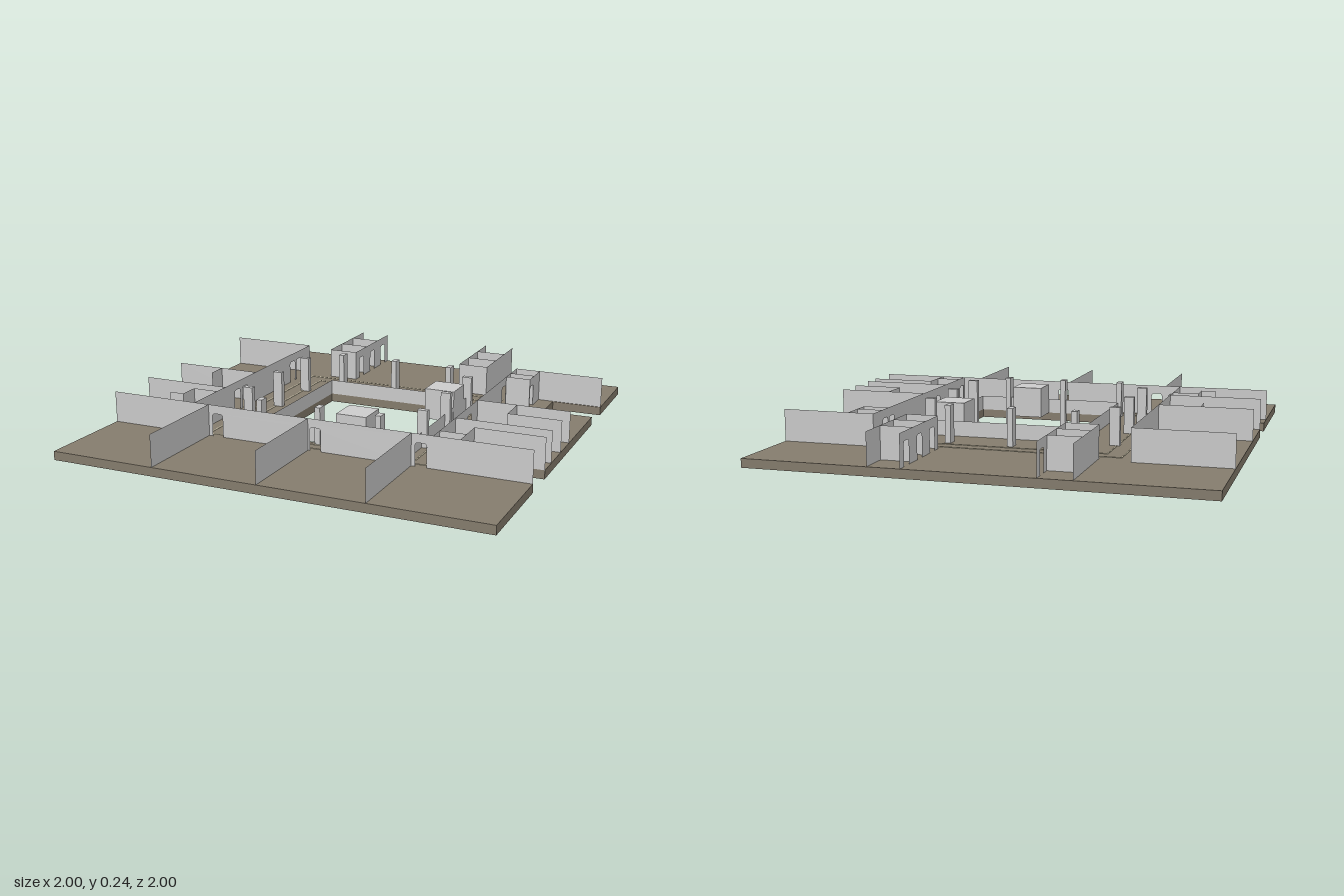
import * as THREE from 'three';

const FLOOR = 0.07, TOP = 0.215;
const grey = new THREE.MeshStandardMaterial({ color: 0xcccccc, side: THREE.DoubleSide });
const floorMat = new THREE.MeshStandardMaterial({ color: 0x857c6d });
const lineMat = new THREE.MeshStandardMaterial({ color: 0xe0d8bc });

// Upright thin panel from a to b with arched doorways centred on the given positions
function panel(a, b, doors = [], top = TOP) {
  const s = new THREE.Shape(), w = 0.026, r = 0.014, h = 0.175;
  s.moveTo(a, FLOOR);
  for (const d of doors) {
    s.lineTo(d - w, FLOOR);
    s.lineTo(d - w, h - r);
    s.quadraticCurveTo(d - w, h, d - w + r, h);
    s.lineTo(d + w - r, h);
    s.quadraticCurveTo(d + w, h, d + w, h - r);
    s.lineTo(d + w, FLOOR);
  }
  s.lineTo(b, FLOOR);
  s.lineTo(b, top);
  s.lineTo(a, top);
  s.closePath();
  return new THREE.ShapeGeometry(s, 5);
}

export function createModel() {
  const model = new THREE.Group();
  const add = (name, geo, mat = grey) => {
    const m = new THREE.Mesh(geo, mat);
    m.name = name;
    model.add(m);
    return m;
  };
  const wallX = (name, z, a, b, doors, top) => add(name, panel(a, b, doors, top).translate(0, 0, z));
  const wallZ = (name, x, a, b, doors, top) =>
    add(name, panel(a, b, doors, top).rotateY(-Math.PI / 2).translate(x, 0, 0));
  const box = (name, x, y0, z, w, h, d, mat) =>
    add(name, new THREE.BoxGeometry(w, h, d).translate(x, y0 + h / 2, z), mat);

  // Floor slab with three edge notches and the courtyard opening (drawn in x, z)
  const v = (x, z) => new THREE.Vector2(x, z);
  const slab = new THREE.Shape([
    v(-1, -1), v(1, -1), v(1, -0.61), v(0.765, -0.61), v(0.765, -0.44), v(1, -0.44),
    v(1, 0.36), v(0.765, 0.36), v(0.765, 0.53), v(1, 0.53), v(1, 1), v(-1, 1),
    v(-1, 0.435), v(-0.765, 0.435), v(-0.765, 0.265), v(-1, 0.265),
  ]);
  slab.holes.push(new THREE.Path([v(-0.285, -0.29), v(-0.285, 0.43), v(0.43, 0.43), v(0.43, -0.29)]));
  const slabGeo = new THREE.ExtrudeGeometry(slab, { depth: 0.04, bevelEnabled: false });
  add('floorSlab', slabGeo.rotateX(Math.PI / 2).translate(0, FLOOR, 0), floorMat);

  // Front rooms
  wallX('frontWall', 0.535, -1, 1, [-0.54, -0.455, 0.03, 0.518]);
  for (const x of [-0.5, -0.005, 0.475]) wallZ('frontPartition', x, 0.535, 1);

  // Back stalls on both sides of the rear hall
  for (const s of [-1, 1]) {
    wallZ('rearHallWall', s * 0.43, -1, -0.58);
    wallZ('stallFront', s * 0.285, -1, -0.58, [-0.93, -0.79, -0.65]);
    const [a, b] = [s * 0.285, s * 0.43].sort((p, q) => p - q);
    for (const z of [-0.86, -0.72, -0.58]) wallX('stallPartition', z, a, b);
  }

  // Side rooms: corridor walls and full cross walls
  for (const s of [-1, 1]) {
    wallZ('corridorWall', s * 0.572, -0.615, 0.535, [-0.485, -0.415, 0.08, 0.155, ...(s > 0 ? [0.497] : [])]);
    const [a, b] = s > 0 ? [0.572, 1] : [-1, -0.572];
    for (const z of [-0.615, -0.025, 0.265]) wallX('sidePartition', z, a, b);
  }

  // Small inner rooms on the +x side
  wallX('innerWall', -0.52, 0.572, 0.69);
  wallX('innerWall', -0.45, 0.572, 0.69);
  wallZ('innerWall', 0.69, -0.615, -0.45, [-0.485]);
  wallZ('innerWall', 0.757, -0.025, 0.115);
  wallX('innerWall', 0.115, 0.757, 1);
  wallX('innerWall', 0.36, 0.69, 1);
  wallZ('innerWall', 0.69, 0.36, 0.535, [0.497]);
  wallX('innerWall', 0.46, 0.572, 0.69);

  // Small inner rooms on the -x side
  wallZ('innerWall', -0.762, -0.025, 0.07);
  wallX('innerWall', 0.34, -0.695, -0.572);
  wallZ('innerWall', -0.695, 0.34, 0.435);
  wallX('innerWall', 0.435, -0.765, -0.695);

  // Low parapet round the courtyard
  for (const z of [-0.29, 0.425]) wallX('parapet', z, -0.285, 0.43, [], 0.14);
  for (const x of [-0.285, 0.43]) wallZ('parapet', x, -0.29, 0.425, [], 0.14);

  // Two cabins standing in the courtyard
  box('cabin', 0.36, FLOOR, -0.17, 0.142, 0.145, 0.142);
  box('cabin', 0.148, FLOOR, 0.353, 0.142, 0.145, 0.142);

  // Columns through the slab, three per side
  for (const t of [-0.288, 0, 0.288]) {
    for (const s of [-1, 1]) {
      box('column', t, 0, s * 0.431, 0.026, 0.24, 0.046);
      box('column', s * 0.431, 0, t, 0.046, 0.24, 0.026);
    }
  }

  // Pale outlines on the floor
  const outline = (x0, x1, z0, z1) => {
    const w = 0.006, h = 0.002;
    for (const z of [z0, z1]) box('floorLine', (x0 + x1) / 2, FLOOR, z, x1 - x0 + w, h, w, lineMat);
    for (const x of [x0, x1]) box('floorLine', x, FLOOR, (z0 + z1) / 2, w, h, z1 - z0 - w, lineMat);
  };
  outline(-0.517, 0.528, -0.541, 0.506);
  outline(-0.442, 0.467, -0.477, 0.458);

  return model;
}
